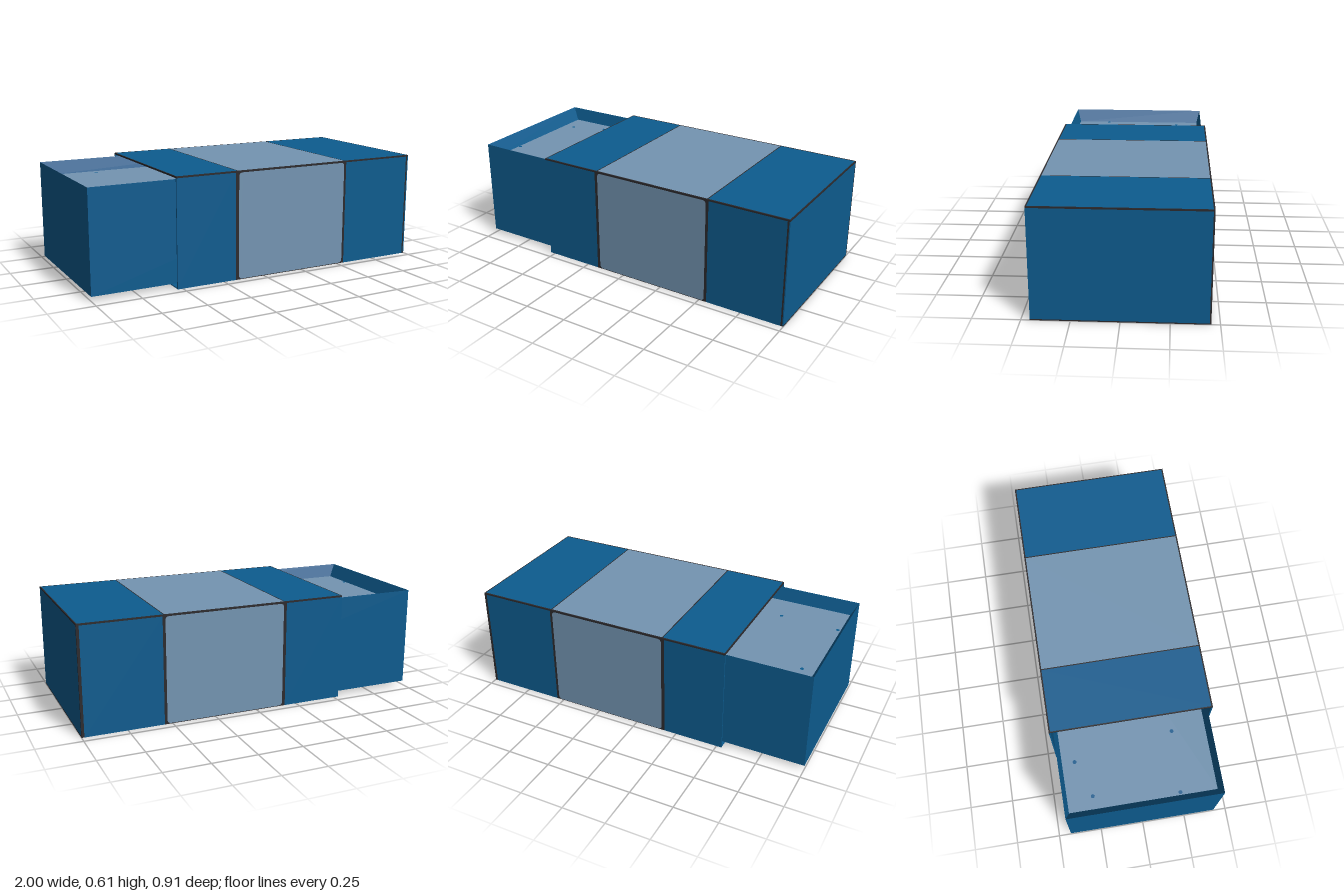
import * as THREE from 'three';

const mat = (name, color) => Object.assign(new THREE.MeshStandardMaterial({ color }), { name });

export function createModel() {
  const blue = mat('blue card', 0x0d5c8f);
  const pale = mat('pale blue label', 0x7495b2);
  const dark = mat('dark edging', 0x2c2a2d);
  const blueOpen = mat('blue card', 0x0d5c8f);
  blueOpen.side = THREE.DoubleSide;

  const model = new THREE.Group();
  model.name = 'slidingBox';
  const sleeve = new THREE.Group();
  sleeve.name = 'sleeve';
  const drawer = new THREE.Group();
  drawer.name = 'drawer';
  model.add(sleeve, drawer);

  // Box given by its lower and upper bounds
  const block = (parent, name, m, [x0, x1], [y0, y1], [z0, z1]) => {
    const mesh = new THREE.Mesh(new THREE.BoxGeometry(x1 - x0, y1 - y0, z1 - z0), m);
    mesh.position.set((x0 + x1) / 2, (y0 + y1) / 2, (z0 + z1) / 2);
    mesh.name = name;
    parent.add(mesh);
    return mesh;
  };

  // Rounded label plate for the long sides
  const label = new THREE.Shape();
  const w = 0.345, h = 0.298, r = 0.022;
  label.moveTo(-w + r, -h);
  label.lineTo(w - r, -h).quadraticCurveTo(w, -h, w, -h + r);
  label.lineTo(w, h - r).quadraticCurveTo(w, h, w - r, h);
  label.lineTo(-w + r, h).quadraticCurveTo(-w, h, -w, h - r);
  label.lineTo(-w, -h + r).quadraticCurveTo(-w, -h, -w + r, -h);
  const labelGeo = new THREE.ShapeGeometry(label, 6);

  // Long side walls: blue ends, dark framed label, dark top and end edges
  for (const s of [1, -1]) {
    const z = s > 0 ? [0.446, 0.454] : [-0.454, -0.446];
    const end = s > 0 ? 0.994 : 1;
    block(sleeve, 'sideNearOpening', blue, [-0.53, -0.178], [0, 0.601], z);
    block(sleeve, 'labelFrame', dark, [-0.178, 0.545], [0, 0.601], z);
    block(sleeve, 'sideNearEnd', blue, [0.545, 0.985], [0, 0.601], z);
    block(sleeve, 'sideEndEdge', dark, [0.985, end], [0, 0.601], z);
    block(sleeve, 'sideTopEdge', dark, [-0.53, 1], [0.601, 0.61], z);
    const plate = new THREE.Mesh(labelGeo, pale);
    plate.name = 'sideLabel';
    plate.position.set(0.185, 0.302, s * 0.4555);
    if (s < 0) plate.rotation.y = Math.PI;
    sleeve.add(plate);
  }

  // Top and bottom walls in bands
  const bands = [
    ['openingEdge', dark, -0.53, -0.524], ['openingBand', blue, -0.524, -0.168],
    ['bandLine', dark, -0.168, -0.162], ['middleBand', pale, -0.162, 0.533],
    ['bandLine', dark, 0.533, 0.539], ['endBand', blue, 0.539, 0.994],
  ];
  for (const [name, m, x0, x1] of bands) {
    block(sleeve, 'top ' + name, m, [x0, x1], [0.601, 0.61], [-0.446, 0.446]);
    const under = name === 'bandLine' ? pale : name === 'openingEdge' ? blue : m;
    block(sleeve, 'bottom ' + name, under, [x0, x1], [0, 0.006], [-0.446, 0.446]);
  }

  // Closed end with its dark edges
  block(sleeve, 'endPanel', blue, [0.994, 1], [0.006, 0.601], [-0.446, 0.454]);
  block(sleeve, 'endTopEdge', dark, [0.994, 1], [0.601, 0.61], [-0.446, 0.446]);
  block(sleeve, 'endBottomEdge', dark, [0.994, 1], [0, 0.006], [-0.446, 0.454]);

  // Drawer: outer walls rise to a thin rim, then slope in to a raised floor
  const ring = (x0, x1, y, z0, z1) => [[x0, y, z1], [x1, y, z1], [x1, y, z0], [x0, y, z0]];
  const foot = ring(-1, 0.98, 0.025, -0.43, 0.425);
  const rim = ring(-1, 0.98, 0.592, -0.43, 0.425);
  const bed = ring(-0.96, 0.94, 0.515, -0.41, 0.402);
  const quads = (name, m, list) => {
    const p = list.flatMap(([a, b, c, d]) => [a, b, c, a, c, d].flat());
    const g = new THREE.BufferGeometry();
    g.setAttribute('position', new THREE.Float32BufferAttribute(p, 3));
    g.computeVertexNormals();
    const mesh = new THREE.Mesh(g, m);
    mesh.name = name;
    drawer.add(mesh);
  };
  const bridge = (a, b) => a.map((v, i) => [v, a[(i + 1) % 4], b[(i + 1) % 4], b[i]]);
  quads('drawerWalls', blueOpen, bridge(foot, rim));
  quads('drawerInnerWalls', blue, bridge(rim, bed));
  quads('drawerFloor', pale, [bed]);
  quads('drawerUnderside', pale, [[...foot].reverse()]);

  // Small blue flecks on the drawer floor
  const fleck = new THREE.CircleGeometry(0.011, 8).rotateX(-Math.PI / 2);
  for (const [x, z] of [[-0.89, -0.27], [-0.69, -0.34], [-0.945, 0.2], [-0.605, 0.215]]) {
    const mesh = new THREE.Mesh(fleck, blue);
    mesh.name = 'floorFleck';
    mesh.position.set(x, 0.517, z);
    drawer.add(mesh);
  }
  return model;
}
